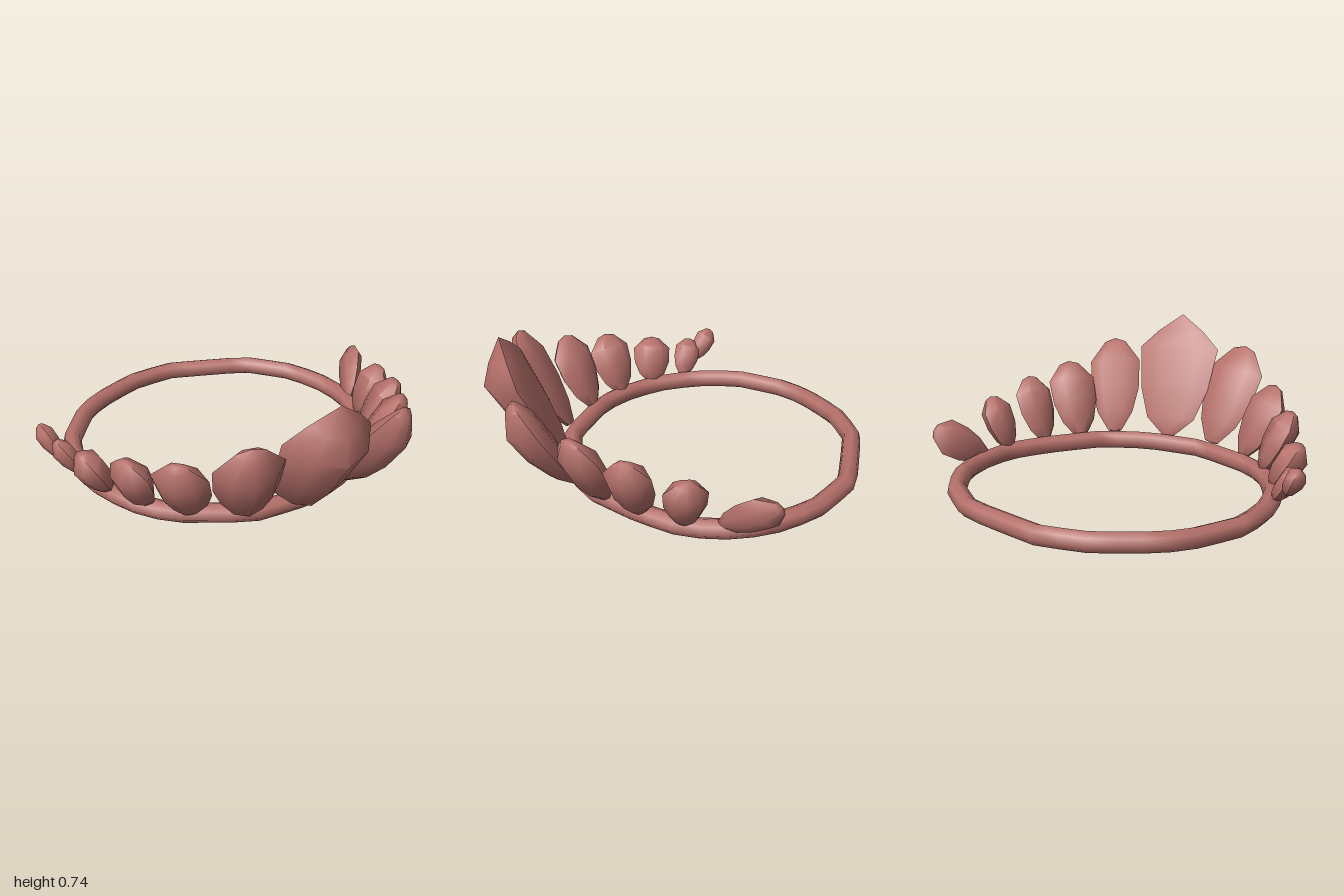
import * as THREE from 'three';
import { toCreasedNormals } from 'three/addons/utils/BufferGeometryUtils.js';

// Lengthwise gem profile: [position along the axis, relative width]
const POINTED = [[0, 0], [0.01, 0.16], [0.14, 0.6], [0.38, 0.86], [0.72, 1], [0.86, 0.58], [1, 0]];
const BLUNT = [[0, 0], [0.01, 0.26], [0.2, 0.7], [0.45, 0.96], [0.75, 1], [0.96, 0.42], [1, 0]];
// Cross-section: [sideways, outward], outer face ridged, inner face flatter
const SECTION = [[1, 0], [0.6, 0.7], [0, 1], [-0.6, 0.7], [-1, 0], [-0.5, -0.9], [0.5, -0.9]];

// A faceted gem from base to tip, facing the given compass angle (0 = front)
function gemGeometry(base, tip, half, front, back, azimuth, profile) {
  const start = new THREE.Vector3(...base);
  const axis = new THREE.Vector3(...tip).sub(start);
  const a = THREE.MathUtils.degToRad(azimuth);
  const out = new THREE.Vector3(Math.sin(a), 0, Math.cos(a));
  const side = new THREE.Vector3().crossVectors(axis, out).normalize();
  const normal = new THREE.Vector3().crossVectors(side, axis).normalize();
  const pos = [], index = [], n = SECTION.length, last = profile.length - 1;

  profile.forEach(([t, w], i) => {
    SECTION.forEach(([s, d], j) => {
      const p = start.clone().addScaledVector(axis, t)
        .addScaledVector(side, s * w * half)
        .addScaledVector(normal, d * w * (d > 0 ? front : back));
      pos.push(p.x, p.y, p.z);
      const p0 = i * n + j, p1 = i * n + (j + 1) % n;
      if (i < last - 1) index.push(p1, p0 + n, p1 + n);
      if (i > 0 && i < last) index.push(p0, p0 + n, p1);
    });
  });
  const geo = new THREE.BufferGeometry();
  geo.setAttribute('position', new THREE.Float32BufferAttribute(pos, 3));
  geo.setIndex(index);
  return toCreasedNormals(geo, 0.95);
}

export function createModel() {
  const model = new THREE.Group();
  model.name = 'tiara';
  const rose = new THREE.MeshStandardMaterial({ color: 0xb5706a });
  rose.name = 'dusty rose';

  const add = (name, geo) => {
    const mesh = new THREE.Mesh(geo, rose);
    mesh.name = name;
    model.add(mesh);
  };

  // Slightly irregular head band, [x, z], rising gently to the back
  const path = [
    [0.06, -0.935], [-0.20, -0.91], [-0.47, -0.79], [-0.60, -0.68], [-0.76, -0.45], [-0.80, -0.20],
    [-0.77, 0.02], [-0.69, 0.20], [-0.55, 0.37], [-0.20, 0.55], [0.13, 0.56], [0.39, 0.47],
    [0.62, 0.25], [0.77, 0.05], [0.82, -0.18], [0.80, -0.36], [0.71, -0.58], [0.50, -0.79],
  ].map(([x, z]) => new THREE.Vector3(x, 0.054 + (0.56 - z) * 0.022, z));
  const curve = new THREE.CatmullRomCurve3(path, true, 'catmullrom', 0.1);
  add('band', new THREE.TubeGeometry(curve, 40, 0.05, 7, true));

  // Gems: name, base, tip, half width, outer depth, inner depth, facing
  const gems = [
    ['centreGem', [0.01, 0.09, 0.58], [0.04, 0.75, 0.89], 0.24, 0.2, 0.03, 0, POINTED],
    ['rightGem1', [-0.26, 0.09, 0.56], [-0.37, 0.61, 0.82], 0.168, 0.13, 0.05, -16, BLUNT],
    ['leftGem1', [0.33, 0.09, 0.54], [0.45, 0.585, 0.82], 0.148, 0.13, 0.05, 16, BLUNT],
    ['rightGem2', [-0.48, 0.08, 0.43], [-0.62, 0.465, 0.58], 0.14, 0.095, 0.07, -42, BLUNT],
    ['leftGem2', [0.49, 0.08, 0.41], [0.645, 0.48, 0.57], 0.135, 0.09, 0.07, 42, BLUNT],
    ['rightGem3', [-0.64, 0.08, 0.26], [-0.775, 0.4, 0.345], 0.12, 0.085, 0.075, -65, BLUNT],
    ['leftGem3', [0.64, 0.08, 0.25], [0.785, 0.43, 0.335], 0.12, 0.085, 0.075, 65, BLUNT],
    ['rightGem4', [-0.75, 0.08, 0.07], [-0.89, 0.32, 0.06], 0.108, 0.08, 0.075, -88, BLUNT],
    ['leftGem4', [0.76, 0.08, 0.05], [0.88, 0.37, 0.06], 0.105, 0.08, 0.075, 88, BLUNT],
    ['rightGem5', [-0.81, 0.09, -0.12], [-0.93, 0.28, -0.18], 0.075, 0.06, 0.05, -95, BLUNT],
    ['rightGem6', [-0.89, 0.16, -0.20], [-0.965, 0.32, -0.31], 0.06, 0.055, 0.045, -100, BLUNT],
    ['leftGem5', [0.81, 0.09, -0.11], [0.985, 0.28, -0.355], 0.1, 0.06, 0.055, 95, BLUNT],
  ];
  gems.forEach(([name, ...args]) => add(name, gemGeometry(...args)));
  return model;
}
